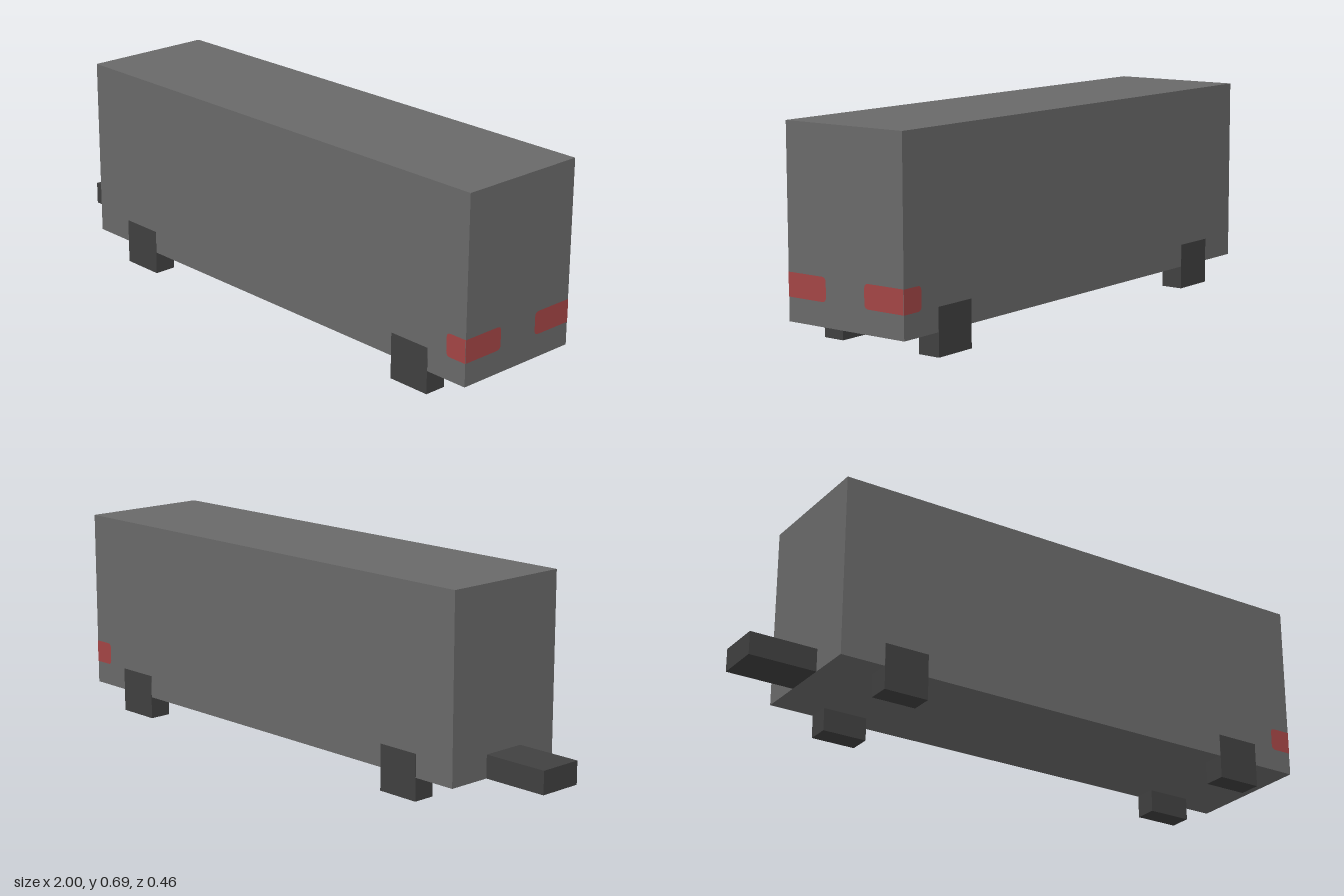
import * as THREE from 'three';

export function createModel() {
  const model = new THREE.Group();
  model.name = 'boxTrailer';

  const material = (name, color) => {
    const m = new THREE.MeshStandardMaterial({ color });
    m.name = name;
    return m;
  };
  const bodyGrey = material('bodyGrey', 0x696969);
  const darkGrey = material('darkGrey', 0x404040);
  const lampRed = material('lampRed', 0xa34545);

  const HALF = 0.23;  // half the body's width
  const LIFT = 0.001; // how far painted faces stand off the body

  // Box given by its lowest and highest corner
  const box = (name, mat, min, max) => {
    const size = max.map((v, i) => v - min[i]);
    const mesh = new THREE.Mesh(new THREE.BoxGeometry(...size), mat);
    mesh.position.set(...max.map((v, i) => (v + min[i]) / 2));
    mesh.name = name;
    model.add(mesh);
  };

  box('cargoBody', bodyGrey, [-0.769, 0.077, -HALF], [1, 0.692, HALF]);
  box('towBar', darkGrey, [-1, 0.077, -0.077], [-0.769, 0.154, 0.077]);

  // Four block wheels, their outer faces showing on the body's sides
  for (const [end, x] of [['front', -0.615], ['rear', 0.692]]) {
    for (const s of [1, -1]) {
      const z = [s * 0.154, s * (HALF + LIFT)].sort((a, b) => a - b);
      box(end + (s > 0 ? 'LeftWheel' : 'RightWheel'), darkGrey,
        [x, 0, z[0]], [x + 0.154, 0.154, z[1]]);
    }
  }

  // Tail lamp face: square at the body's corner, rounded at its inner end
  const lamp = (name, outer, inner, turn, distance) => {
    const y0 = 0.154, y1 = 0.231, r = 0.016;
    const k = inner + Math.sign(outer - inner) * r;
    const shape = new THREE.Shape();
    shape.moveTo(outer, y0);
    shape.lineTo(k, y0);
    shape.quadraticCurveTo(inner, y0, inner, y0 + r);
    shape.lineTo(inner, y1 - r);
    shape.quadraticCurveTo(inner, y1, k, y1);
    shape.lineTo(outer, y1);
    shape.closePath();
    const geometry = new THREE.ShapeGeometry(shape, 4);
    geometry.translate(0, 0, distance + LIFT);
    geometry.rotateY(turn);
    const mesh = new THREE.Mesh(geometry, lampRed);
    mesh.name = name;
    model.add(mesh);
  };

  // Each lamp wraps round a rear corner
  for (const s of [1, -1]) {
    const side = s > 0 ? 'left' : 'right';
    lamp(side + 'TailLamp', -s * HALF, -s * 0.077, Math.PI / 2, 1);
    lamp(side + 'SideLamp', s, s * 0.923, s > 0 ? 0 : Math.PI, HALF);
  }

  return model;
}
